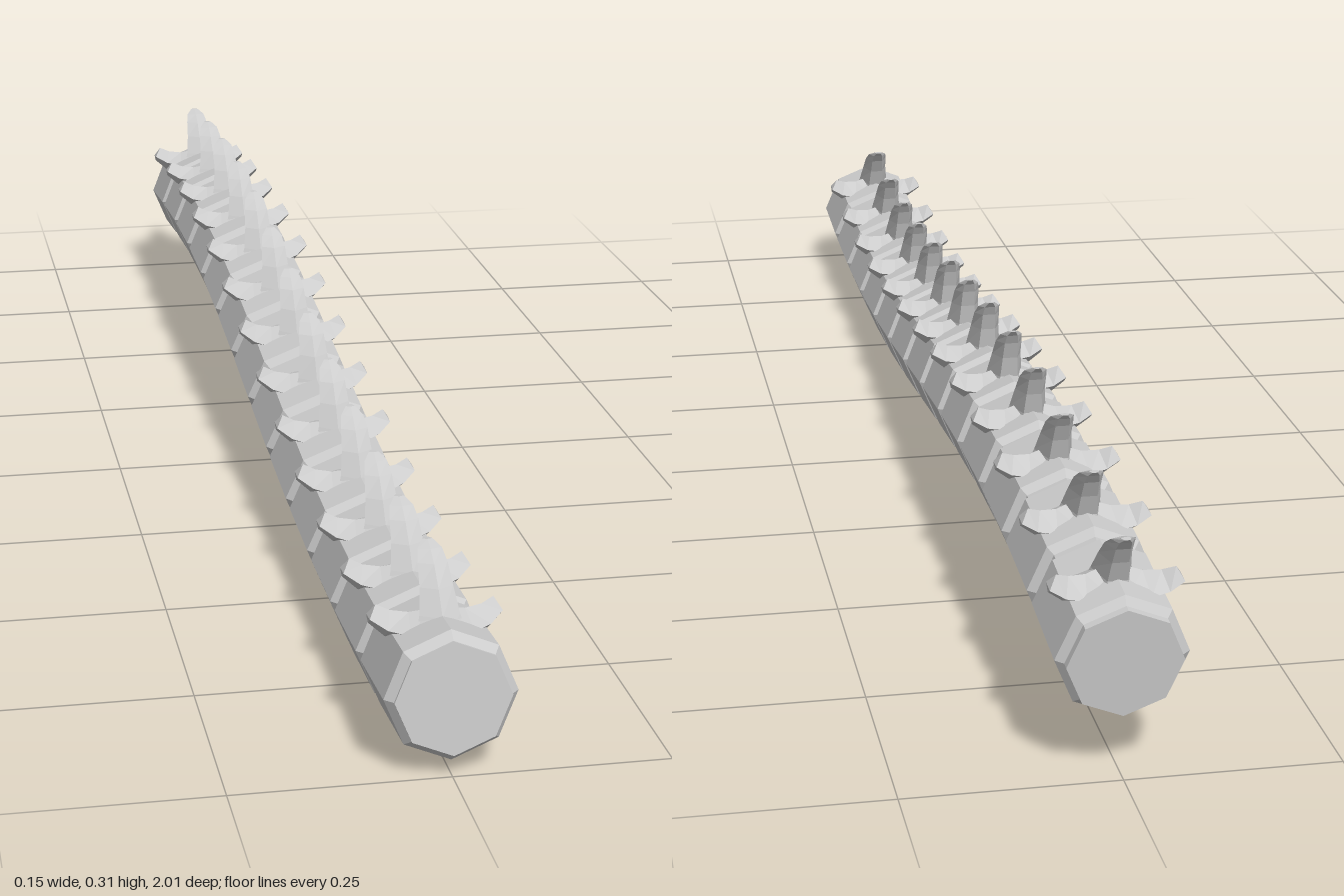
import * as THREE from 'three';

const COUNT = 13, HALF = 0.0785, CORE = 0.066, RADIUS = 0.0755;
const STEP = (2 - 2 * HALF) / (COUNT - 1);

// Skin a series of rings, each counter-clockwise seen from the far end, and cap both ends
function loft(rings) {
  const pos = [], n = rings[0].length;
  const tri = (a, b, c) => pos.push(...a, ...b, ...c);
  for (let i = 0; i < rings.length - 1; i++) {
    for (let j = 0; j < n; j++) {
      const k = (j + 1) % n, p = rings[i], q = rings[i + 1];
      tri(p[j], p[k], q[k]);
      tri(p[j], q[k], q[j]);
    }
  }
  const first = rings[0], last = rings[rings.length - 1];
  for (let j = 1; j < n - 1; j++) {
    tri(first[0], first[j + 1], first[j]);
    tri(last[0], last[j], last[j + 1]);
  }
  const g = new THREE.BufferGeometry();
  g.setAttribute('position', new THREE.Float32BufferAttribute(pos, 3));
  g.computeVertexNormals();
  return g;
}

// Octagonal drum with bevelled ends
function bodyGeometry() {
  const profile = [
    [0, -HALF], [CORE, -HALF], [CORE, -HALF + 0.01], [RADIUS, -HALF + 0.018],
    [RADIUS, HALF - 0.014], [CORE, HALF - 0.003], [CORE, HALF], [0, HALF],
  ].map(([r, y]) => new THREE.Vector2(r, y));
  return new THREE.LatheGeometry(profile, 8).rotateX(Math.PI / 2);
}

// Backswept dorsal spike: height, front z, back z, half width
function spikeGeometry() {
  return loft([
    [0.05, 0.04, -0.03, 0.03],
    [0.073, 0.024, -0.026, 0.023],
    [0.1, 0.004, -0.034, 0.019],
    [0.122, -0.018, -0.044, 0.017],
    [0.134, -0.036, -0.052, 0.014],
    [0.141, -0.051, -0.059, 0.006],
  ].map(([y, f, b, w]) => {
    const m = f + (b - f) * 0.3;
    return [[0, y, f], [w, y, m], [w * 0.5, y, b], [-w * 0.5, y, b], [-w, y, m]];
  }));
}

// Side horn: x at the low edge, x at the ridge, low y, side y, ridge y, front z, back z
function hornGeometry() {
  return loft([
    [0.01, 0.01, 0.035, 0.062, 0.078, 0.042, -0.04],
    [0.036, 0.032, 0.035, 0.056, 0.073, 0.026, -0.038],
    [0.058, 0.052, 0.045, 0.058, 0.075, 0.01, -0.032],
    [0.0755, 0.067, 0.06, 0.067, 0.081, -0.006, -0.027],
  ].map(([xl, xr, low, side, top, f, b]) => {
    const m = (f + b) / 2;
    return [[xl, side, f], [xl, low, m], [xl, side, b], [xr, top, m]];
  }));
}

export function createModel() {
  const model = new THREE.Group();
  model.name = 'spinedTail';
  const material = new THREE.MeshStandardMaterial({ color: 0xcccccc, flatShading: true });
  const body = bodyGeometry(), spike = spikeGeometry(), horn = hornGeometry();

  const add = (parent, geometry, name) => {
    const mesh = new THREE.Mesh(geometry, material);
    mesh.name = name;
    parent.add(mesh);
    return mesh;
  };

  // Segments strung along a gentle wave, each tilted to follow it
  const wave = Math.PI / 1.2;
  for (let i = 0; i < COUNT; i++) {
    const z = 1 - HALF - i * STEP, phase = (z - 0.65) * wave;
    const segment = new THREE.Group();
    segment.name = `segment${i + 1}`;
    segment.position.set(0, 0.122 - 0.046 * Math.cos(phase), z);
    segment.rotation.x = -Math.atan(0.046 * wave * Math.sin(phase));
    add(segment, body, 'segmentBody');
    add(segment, spike, 'dorsalSpike');
    add(segment, horn, 'leftHorn');
    add(segment, horn, 'rightHorn').scale.x = -1;
    model.add(segment);
  }
  return model;
}
